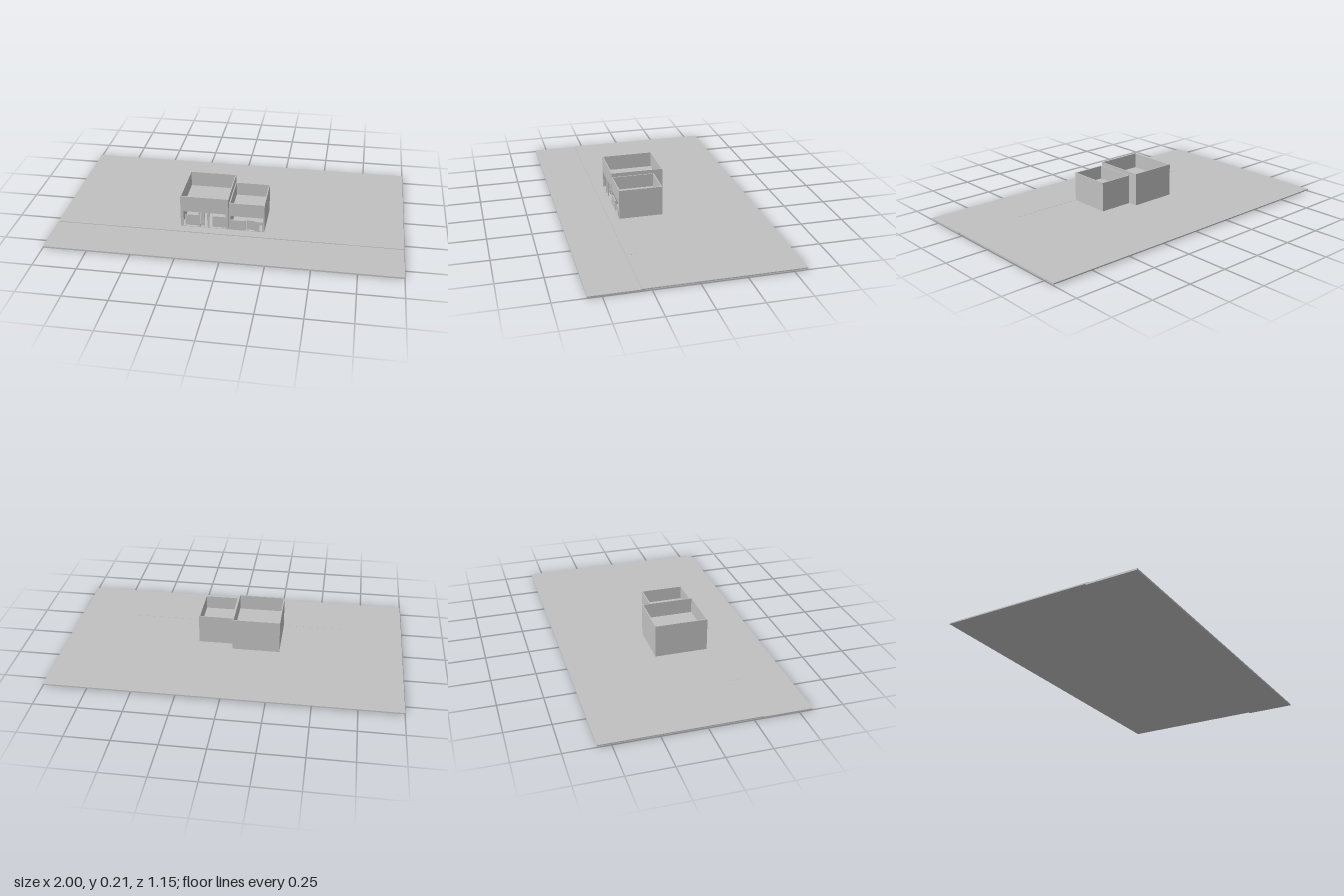
import * as THREE from 'three';

const concrete = new THREE.MeshStandardMaterial({ color: 0xc0c0c0 });
concrete.name = 'concrete';

// Box given by its minimum and maximum corners
function block(parent, name, [x0, y0, z0], [x1, y1, z1]) {
  const mesh = new THREE.Mesh(new THREE.BoxGeometry(x1 - x0, y1 - y0, z1 - z0), concrete);
  mesh.position.set((x0 + x1) / 2, (y0 + y1) / 2, (z0 + z1) / 2);
  mesh.name = name;
  parent.add(mesh);
}

function outline(points, Type = THREE.Shape) {
  return new Type(points.map(([x, y]) => new THREE.Vector2(x, y)));
}

const GROUND = 0.0135, FRONT = 0.244, WALL = 0.006;

// Open-topped shop: four walls, a pierced front and a sunken roof deck
function building(name, { x0, x1, back, top, deck, holes }) {
  const shop = new THREE.Group();
  shop.name = name;
  block(shop, 'leftWall', [x1 - WALL, GROUND, back], [x1, top, FRONT - WALL]);
  block(shop, 'rightWall', [x0, GROUND, back], [x0 + WALL, top, FRONT - WALL]);
  block(shop, 'backWall', [x0 + WALL, GROUND, back], [x1 - WALL, top, back + WALL]);
  block(shop, 'roofDeck', [x0 + WALL, deck - 0.004, back + WALL], [x1 - WALL, deck, FRONT - WALL]);

  const face = outline([[x0, GROUND], [x1, GROUND], [x1, top], [x0, top]]);
  face.holes = holes.map((points) => outline(points, THREE.Path));
  const front = new THREE.Mesh(
    new THREE.ExtrudeGeometry(face, { depth: WALL, bevelEnabled: false }), concrete);
  front.position.z = FRONT - WALL;
  front.name = 'shopFront';
  shop.add(front);
  return shop;
}

const rect = (x0, x1, y0, y1) => [[x0, y0], [x0, y1], [x1, y1], [x1, y0]];

export function createModel() {
  const model = new THREE.Group();
  model.name = 'shopsOnStreet';

  // Road, raised plot and paving strip
  block(model, 'road', [-1, 0, 0.285], [1, 0.0095, 0.575]);
  block(model, 'plot', [-1, 0.006, -0.575], [1, 0.013, 0.303]);
  block(model, 'pavement', [-0.64, 0.007, 0.246], [0.64, GROUND, 0.303]);

  // Tall shop with two display windows and a central door
  const sill = GROUND + 0.002;
  const tall = building('tallShop', {
    x0: -0.28, x1: -0.001, back: -0.066, top: 0.209, deck: 0.118,
    holes: [
      rect(-0.262, -0.174, sill, 0.112),
      rect(-0.164, -0.124, sill, 0.112),
      rect(-0.112, -0.018, sill, 0.112),
    ],
  });
  // Recessed window panels and door
  for (const [x0, x1] of [[-0.257, -0.176], [-0.096, -0.02]]) {
    block(tall, 'windowPanel', [x0, GROUND, 0.224], [x1, 0.083, 0.228]);
  }
  block(tall, 'door', [-0.164, GROUND, 0.222], [-0.142, 0.108, 0.226]);
  block(tall, 'doorHandle', [-0.157, 0.04, 0.226], [-0.147, 0.044, 0.23]);
  model.add(tall);

  // Low shop with a long serving window joined to a doorway
  const low = building('lowShop', {
    x0: 0.004, x1: 0.208, back: -0.01, top: 0.188, deck: 0.108,
    holes: [
      [[0.012, 0.077], [0.012, 0.104], [0.2, 0.104], [0.2, 0.077],
        [0.15, 0.077], [0.15, sill], [0.097, sill], [0.097, 0.077]],
      rect(0.18, 0.194, sill, 0.058),
    ],
  });
  block(low, 'door', [0.103, GROUND, 0.224], [0.15, 0.073, 0.228]);
  model.add(low);

  return model;
}
